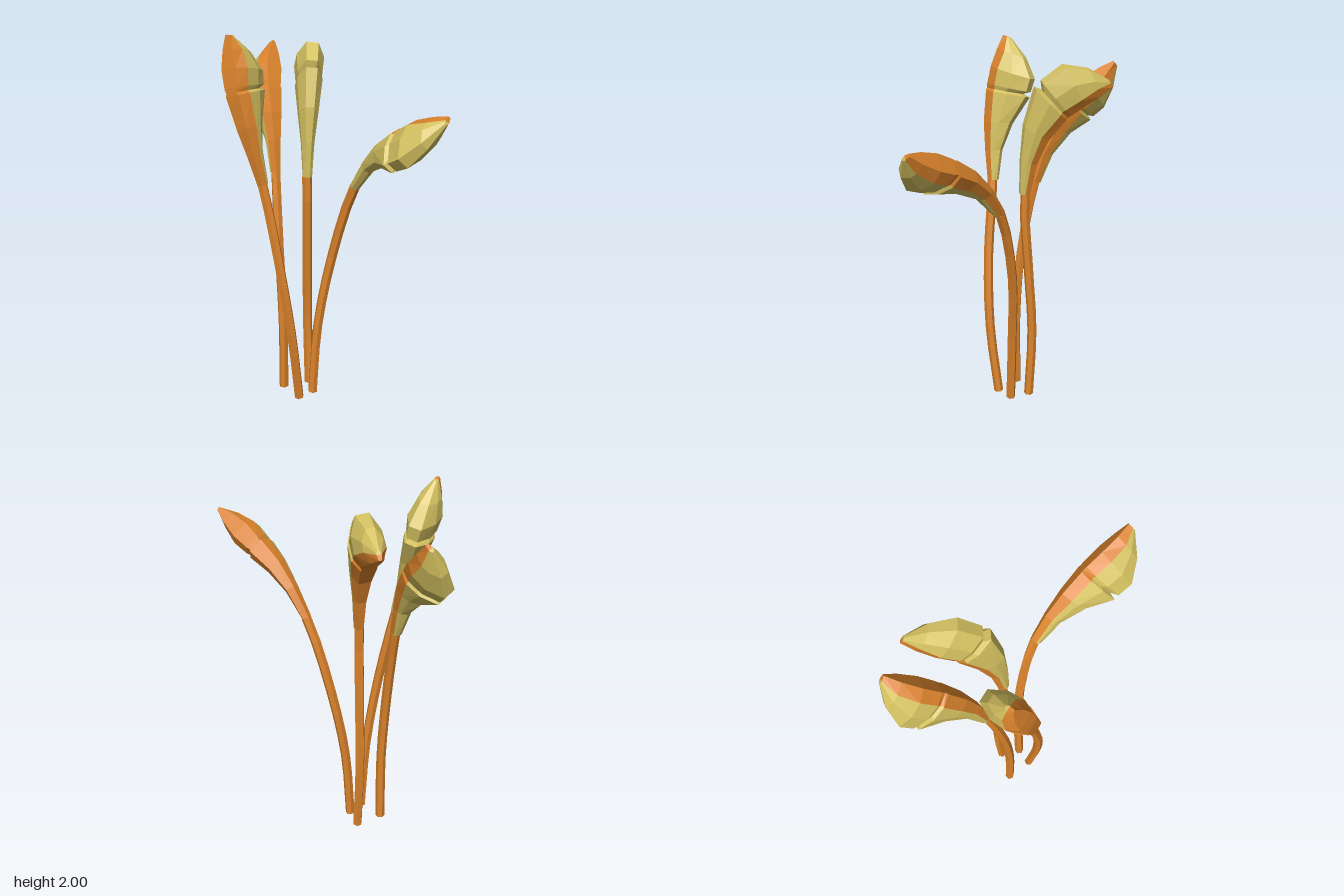
import * as THREE from 'three';

const stemMaterial = new THREE.MeshStandardMaterial({ color: 0xd9822b, flatShading: true, side: THREE.DoubleSide });
const podMaterial = new THREE.MeshStandardMaterial({ color: 0xd3c060, flatShading: true, side: THREE.DoubleSide });

const STEM_HEIGHT = 1.25;
const STEM_RADIUS = 0.026;

// Pod sections along the spine: [position, half width, depth]; the dip is the seam between the two lobes
const POD = [
  [0, 0.025, 0.032], [0.2, 0.035, 0.065], [0.4, 0.054, 0.125],
  [0.62, 0.07, 0.205], [0.64, 0.058, 0.165], [0.67, 0.068, 0.205],
  [0.79, 0.077, 0.208], [0.91, 0.052, 0.13], [1, 0.012, 0.022],
];

// Cross-section as [across, outwards]: corners 0-3 are the spine strip, 3-8 the pod
function podSection(w, d) {
  const edge = Math.min(0.25 * d, 0.035);
  return [
    [-w, edge], [-0.6 * w, -0.022], [0.6 * w, -0.022], [w, edge],
    [w * 0.95, 0.58 * d], [0.42 * w, d], [-0.42 * w, d], [-w * 0.95, 0.58 * d], [-w, edge],
  ];
}

const stemSection = Array.from({ length: 7 }, (_, i) => {
  const a = (i * Math.PI) / 3;
  return [STEM_RADIUS * Math.cos(a), STEM_RADIUS * Math.sin(a)];
});

// Place one flat section on the curve, its second axis leaning to the bulge side
function placeSection(curve, t, section, bulge) {
  const centre = curve.getPoint(t);
  const along = curve.getTangent(t);
  const out = new THREE.Vector3(...bulge);
  out.addScaledVector(along, -out.dot(along)).normalize();
  const across = new THREE.Vector3().crossVectors(out, along);
  return section.map(([b, n]) => centre.clone().addScaledVector(across, b).addScaledVector(out, n));
}

// Skin a run of rings, closing the far end and optionally the near one
function loft(rings, material, name, capStart) {
  const pos = [];
  const tri = (...corners) => corners.forEach((p) => pos.push(p.x, p.y, p.z));
  for (let i = 0; i < rings.length - 1; i++) {
    for (let j = 0; j < rings[i].length - 1; j++) {
      const [a, b, c, d] = [rings[i][j], rings[i][j + 1], rings[i + 1][j + 1], rings[i + 1][j]];
      tri(a, b, c);
      tri(a, c, d);
    }
  }
  const first = rings[0];
  const last = rings[rings.length - 1];
  for (let j = 1; j < first.length - 1; j++) {
    if (capStart) tri(first[0], first[j + 1], first[j]);
    tri(last[0], last[j], last[j + 1]);
  }
  const geometry = new THREE.BufferGeometry();
  geometry.setAttribute('position', new THREE.Float32BufferAttribute(pos, 3));
  geometry.computeVertexNormals();
  const mesh = new THREE.Mesh(geometry, material);
  mesh.name = name;
  return mesh;
}

// stem: [x, z] at four even heights; head: the rest of the spine; bulge: the side the pod swells to
function makeStalk(name, stem, head, bulge) {
  const stalk = new THREE.Group();
  stalk.name = name;
  const curve = new THREE.CatmullRomCurve3([
    ...stem.map(([x, z], i) => new THREE.Vector3(x, (STEM_HEIGHT * i) / 3, z)),
    ...head.map((p) => new THREE.Vector3(...p)),
  ]);

  // Slender six-sided stem on the first half of the curve
  const stemRings = Array.from({ length: 10 }, (_, i) => placeSection(curve, i / 18, stemSection, bulge));
  stalk.add(loft(stemRings, stemMaterial, 'stem', true));

  // Two-lobed pod with the stem colour running up its spine
  const rings = POD.map(([s, w, d]) => placeSection(curve, 0.5 + s / 2, podSection(w, d), bulge));
  stalk.add(loft(rings.map((r) => r.slice(0, 4)), stemMaterial, 'spine', false));
  stalk.add(loft(rings.map((r) => r.slice(3)), podMaterial, 'pod', false));
  return stalk;
}

export function createModel() {
  const model = new THREE.Group();
  model.name = 'podStalks';
  model.add(
    makeStalk('leftStalk',
      [[-0.125, 0.03], [-0.17, 0.064], [-0.23, 0.05], [-0.3, 0]],
      [[-0.37, 1.5, -0.01], [-0.425, 1.74, -0.055], [-0.43, 1.99, -0.13]],
      [0.7, 0, -0.7]),
    makeStalk('backStalk',
      [[-0.19, -0.105], [-0.19, -0.1], [-0.2, -0.13], [-0.2, -0.21]],
      [[-0.19, 1.51, -0.295], [-0.18, 1.69, -0.415], [-0.15, 1.87, -0.63]],
      [-0.45, -0.55, -0.65]),
    makeStalk('middleStalk',
      [[-0.04, -0.125], [-0.044, -0.143], [-0.048, -0.118], [-0.05, -0.1]],
      [[-0.036, 1.52, -0.17], [-0.01, 1.69, -0.3], [0.035, 1.82, -0.52]],
      [0, 0.7, 0.65]),
    makeStalk('frontStalk',
      [[-0.04, -0.015], [-0.01, -0.013], [0.063, 0.012], [0.16, 0.11]],
      [[0.25, 1.465, 0.25], [0.34, 1.58, 0.4], [0.45, 1.7, 0.63]],
      [-0.5, -0.5, 0.7]),
  );
  return model;
}
